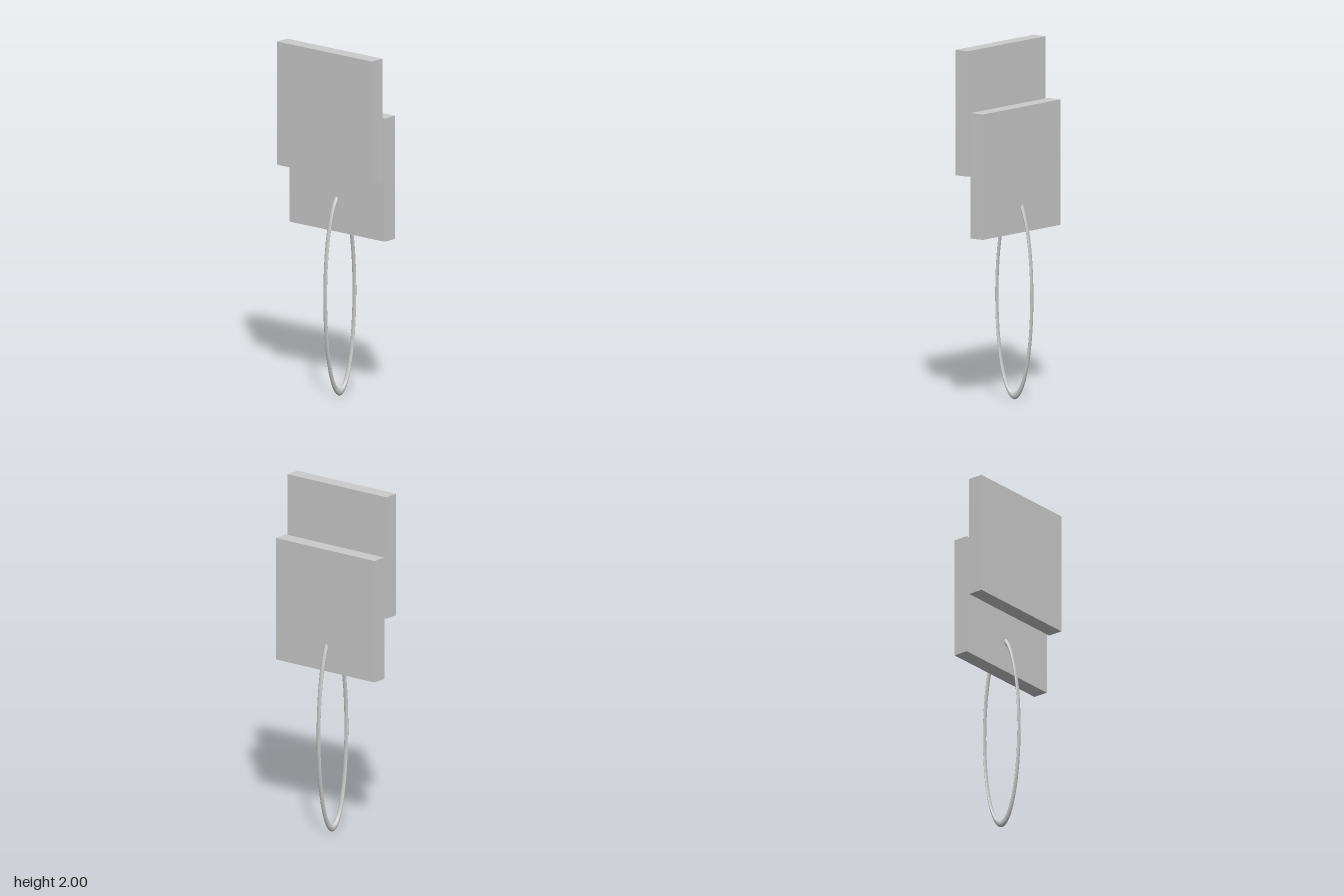
import * as THREE from 'three';

export function createModel() {
  const model = new THREE.Group();
  const material = new THREE.MeshStandardMaterial({ color: 0xcccccc });

  // Two upright square plates, stepped in height
  const addPlate = (name, x, y) => {
    const plate = new THREE.Mesh(new THREE.BoxGeometry(0.088, 0.707, 0.707), material);
    plate.name = name;
    plate.position.set(x, y, 0);
    model.add(plate);
  };
  addPlate('upperPlate', -0.089, 1.6465);
  addPlate('lowerPlate', 0.016, 1.3);

  // Hanging ring: a thin torus stretched into a tall ellipse
  const tube = 0.036;
  const ringGeometry = new THREE.TorusGeometry(1 - tube, tube, 16, 64);
  ringGeometry.scale(0.128, 0.583, 0.0135 / tube);
  const ring = new THREE.Mesh(ringGeometry, material);
  ring.name = 'hangingRing';
  ring.position.set(0.003, 0.583, -0.0065);
  model.add(ring);

  return model;
}
